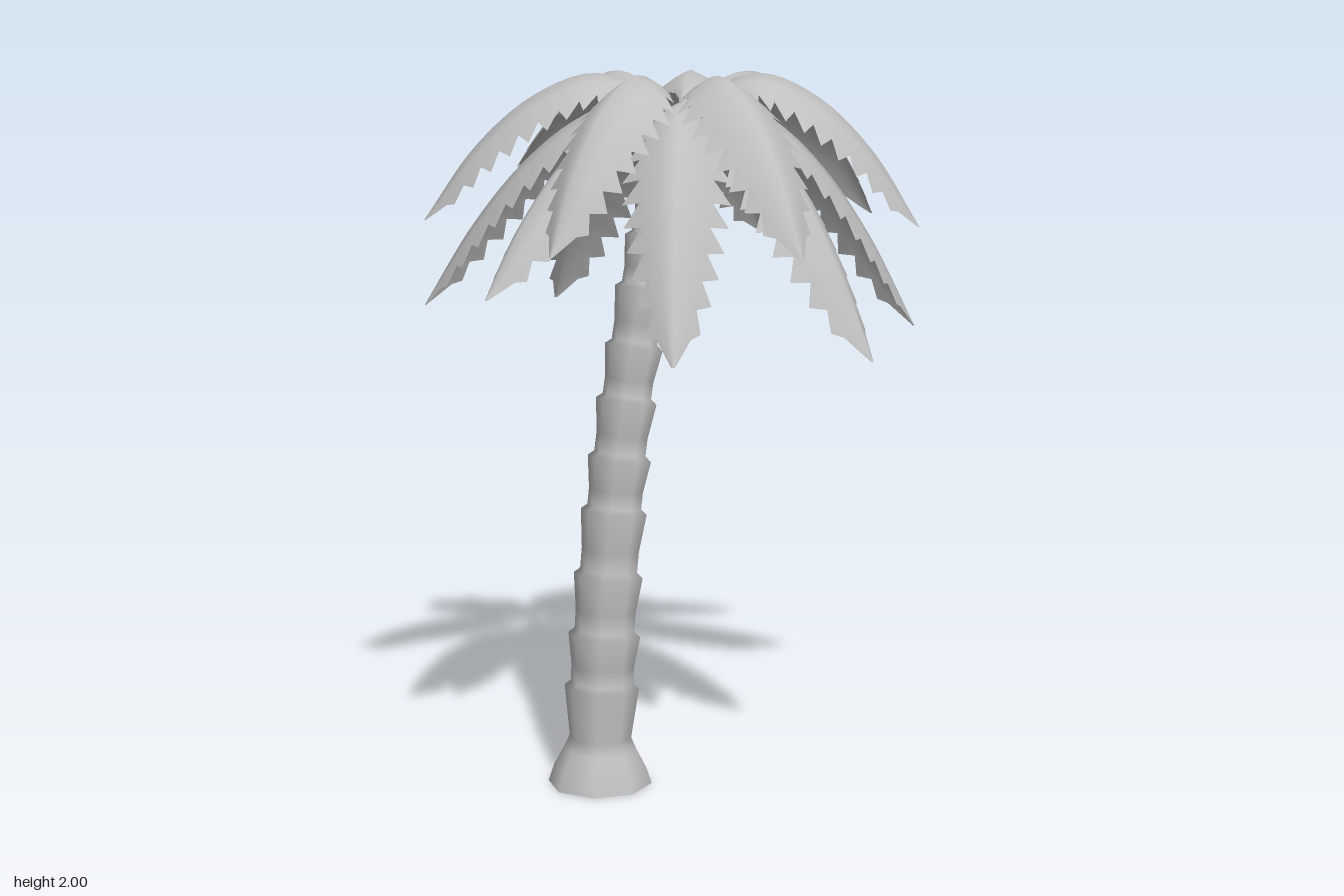
import * as THREE from 'three';

const grey = new THREE.MeshStandardMaterial({ color: 0xbfbfbf, side: THREE.DoubleSide });
grey.name = 'plain grey';

const CROWN = new THREE.Vector3(-0.02, 0, 0.01);

// Ringed trunk: a lathe with a lip on each segment, bent sideways with height
function makeTrunk() {
  const lips = [0.28, 0.43, 0.6, 0.78, 0.93, 1.09, 1.24, 1.4, 1.54, 1.69, 1.82];
  const profile = [[0.148, 0], [0.131, 0.05], [0.104, 0.1], [0.088, 0.135]];
  lips.forEach((y, i) => {
    const lip = 0.106 - 0.026 * (y - 0.28);
    const next = i < lips.length - 1 ? lips[i + 1] : y + 0.06;
    profile.push([lip, y], [lip - 0.017, y + 0.014]);
    profile.push([lip - 0.017, y + 0.4 * (next - y)]);
  });
  profile.push([0.001, 1.91]);
  const geo = new THREE.LatheGeometry(profile.map(([r, y]) => new THREE.Vector2(r, y)), 8);
  const p = geo.attributes.position;
  for (let i = 0; i < p.count; i++) {
    const y = p.getY(i), x = p.getX(i), t = y / 1.85;
    const slope = 0.27 * Math.pow(t, 0.85);
    p.setXYZ(i, x - 0.322 + 0.27 * Math.pow(t, 1.85), y - slope * x, p.getZ(i) + 0.015);
  }
  const trunk = new THREE.Mesh(geo, grey);
  trunk.name = 'trunk';
  return trunk;
}

// Leaf half width along its length
const widths = [[0, 0.008], [0.07, 0.016], [0.11, 0.05], [0.18, 0.092], [0.32, 0.125], [0.5, 0.122],
  [0.68, 0.102], [0.83, 0.073], [0.92, 0.042], [1, 0.004]];
function widthAt(u) {
  const k = Math.max(1, widths.findIndex(([s]) => s >= u));
  const [u0, w0] = widths[k - 1], [u1, w1] = widths[k];
  return THREE.MathUtils.mapLinear(u, u0, u1, w0, w1);
}

// Arched leaf with a gabled section and saw-toothed edges
function makeFrond(tipX, tipY, tipZ, upper) {
  const out = new THREE.Vector3(tipX - CROWN.x, 0, tipZ - CROWN.z);
  const reach = out.length();
  out.normalize();
  const side = new THREE.Vector3(-out.z, 0, out.x);
  // Each point: share of reach, share of the fall from the top to the tip
  const top = upper ? 1.995 : 1.92;
  const path = upper
    ? [[0.05, 0.21], [0.17, 0.07], [0.35, 0], [0.58, 0.16], [0.8, 0.5], [1, 1]]
    : [[0.05, 0.06], [0.2, 0], [0.4, 0.1], [0.6, 0.3], [0.8, 0.6], [1, 1]];
  const spine = new THREE.CatmullRomCurve3(path.map(([r, f]) =>
    CROWN.clone().addScaledVector(out, r * reach).setY(top - f * (top - tipY))));

  const columns = [-1, -0.74, -0.4, 0, 0.4, 0.74, 1];
  const teeth = 12, rows = teeth * 2 + 1;
  const pos = [], index = [];
  for (let i = 0; i < rows; i++) {
    const u = i / (rows - 1);
    const c = spine.getPointAt(u), tan = spine.getTangentAt(u);
    const up = new THREE.Vector3().crossVectors(side, tan);
    if (up.y < 0) up.negate();
    const w = widthAt(u);
    const toothed = u > 0.12 && u < 0.9;
    const isPoint = i % 2 === 1;
    for (const v of columns) {
      const edge = Math.abs(v) === 1 && toothed;
      const scale = edge ? (isPoint ? 1.18 : 0.8) : 1;
      const a = v * w * scale;
      const drop = 0.66 * w * scale * Math.pow(Math.abs(v), 1.3);
      const q = c.clone().addScaledVector(side, a).addScaledVector(up, -drop);
      if (edge && isPoint) q.addScaledVector(tan, 0.022);
      pos.push(q.x, q.y, q.z);
    }
  }
  const n = columns.length;
  for (let i = 0; i < rows - 1; i++) {
    for (let j = 0; j < n - 1; j++) {
      const a = i * n + j, b = a + n;
      index.push(a, a + 1, b, b, a + 1, b + 1);
    }
  }
  const geo = new THREE.BufferGeometry();
  geo.setAttribute('position', new THREE.Float32BufferAttribute(pos, 3));
  geo.setIndex(index);
  geo.computeVertexNormals();
  const frond = new THREE.Mesh(geo, grey);
  frond.name = upper ? 'upperFrond' : 'lowerFrond';
  return frond;
}

export function createModel() {
  const palm = new THREE.Group();
  palm.name = 'palmTree';
  palm.add(makeTrunk());

  // Leaf tips of the two tiers
  const upperTips = [
    [-0.08, 1.55, -0.755], [0.54, 1.56, -0.51], [0.73, 1.56, 0.015], [0.46, 1.57, 0.48],
    [-0.235, 1.55, 0.75], [-0.64, 1.54, 0.225], [-0.6, 1.59, -0.41]];
  const lowerTips = [
    [0.115, 1.28, -0.755], [0.63, 1.48, -0.36], [0.67, 1.25, 0.26], [0.04, 1.26, 0.73],
    [-0.55, 1.29, 0.615], [-0.73, 1.42, 0.06], [-0.47, 1.32, -0.61]];
  const crown = new THREE.Group();
  crown.name = 'crown';
  upperTips.forEach((t) => crown.add(makeFrond(...t, true)));
  lowerTips.forEach((t) => crown.add(makeFrond(...t, false)));
  palm.add(crown);

  // Coconuts under the crown
  for (const [x, y, z] of [[0.054, 1.785, -0.016], [-0.008, 1.81, -0.078]]) {
    const nut = new THREE.Mesh(new THREE.SphereGeometry(0.044, 16, 12), grey);
    nut.name = 'coconut';
    nut.position.set(x, y, z);
    palm.add(nut);
  }
  return palm;
}
